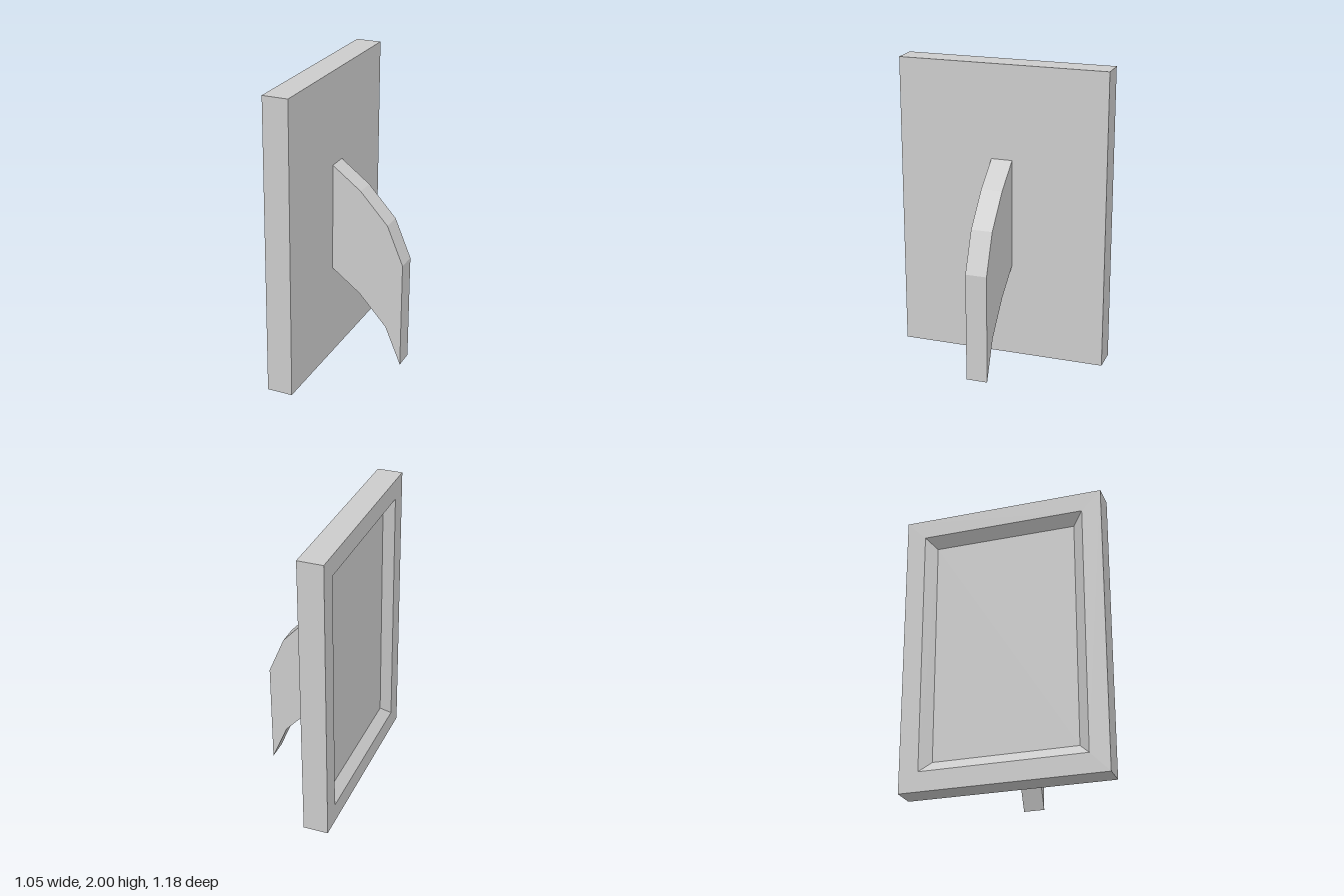
import * as THREE from 'three';

const material = new THREE.MeshStandardMaterial({ color: 0xcccccc, flatShading: true });

// Joins rectangular rings [halfWidth, halfHeight, z] into a closed solid, first ring facing +z
function rectLoft(rings) {
  const positions = [];
  const index = [];
  for (const [w, h, z] of rings) positions.push(-w, -h, z, w, -h, z, w, h, z, -w, h, z);
  for (let r = 0; r < rings.length - 1; r++) {
    for (let k = 0; k < 4; k++) {
      const a = r * 4 + k, b = r * 4 + (k + 1) % 4;
      index.push(a, a + 4, b + 4, a, b + 4, b);
    }
  }
  const e = (rings.length - 1) * 4;
  index.push(0, 1, 2, 0, 2, 3, e, e + 2, e + 1, e, e + 3, e + 2);
  const indexed = new THREE.BufferGeometry();
  indexed.setAttribute('position', new THREE.Float32BufferAttribute(positions, 3));
  indexed.setIndex(index);
  const geometry = indexed.toNonIndexed();
  geometry.computeVertexNormals();
  return geometry;
}

export function createModel() {
  const model = new THREE.Group();
  model.name = 'pictureFrame';

  // Turned diagonally: local +z is the strut side, local -z the picture side
  const body = new THREE.Group();
  body.name = 'turnedFrame';
  body.rotation.y = 0.861;
  model.add(body);

  // Frame board with a bevelled picture recess
  const frame = new THREE.Mesh(rectLoft([
    [0.704, 1, 0.086],
    [0.704, 1, -0.086],
    [0.57, 0.864, -0.086],
    [0.496, 0.79, -0.026],
  ]), material);
  frame.name = 'frame';
  frame.position.y = 1;
  body.add(frame);

  // Curved support strut: the lower edge repeats the upper edge, shifted down
  const upper = [[0.086, 1.37], [0.283, 1.222], [0.474, 1.012], [0.585, 0.748]];
  const lower = upper.map(([z, y]) => [z, y - 0.735]).reverse();
  const outline = [...upper, ...lower].map(([z, y]) => new THREE.Vector2(z, y));
  const width = 0.142;
  const strutGeometry = new THREE.ExtrudeGeometry(new THREE.Shape(outline), {
    depth: width, bevelEnabled: false,
  });
  strutGeometry.translate(0, 0, -width / 2).rotateY(-Math.PI / 2);
  const strut = new THREE.Mesh(strutGeometry, material);
  strut.name = 'supportStrut';
  body.add(strut);

  return model;
}
